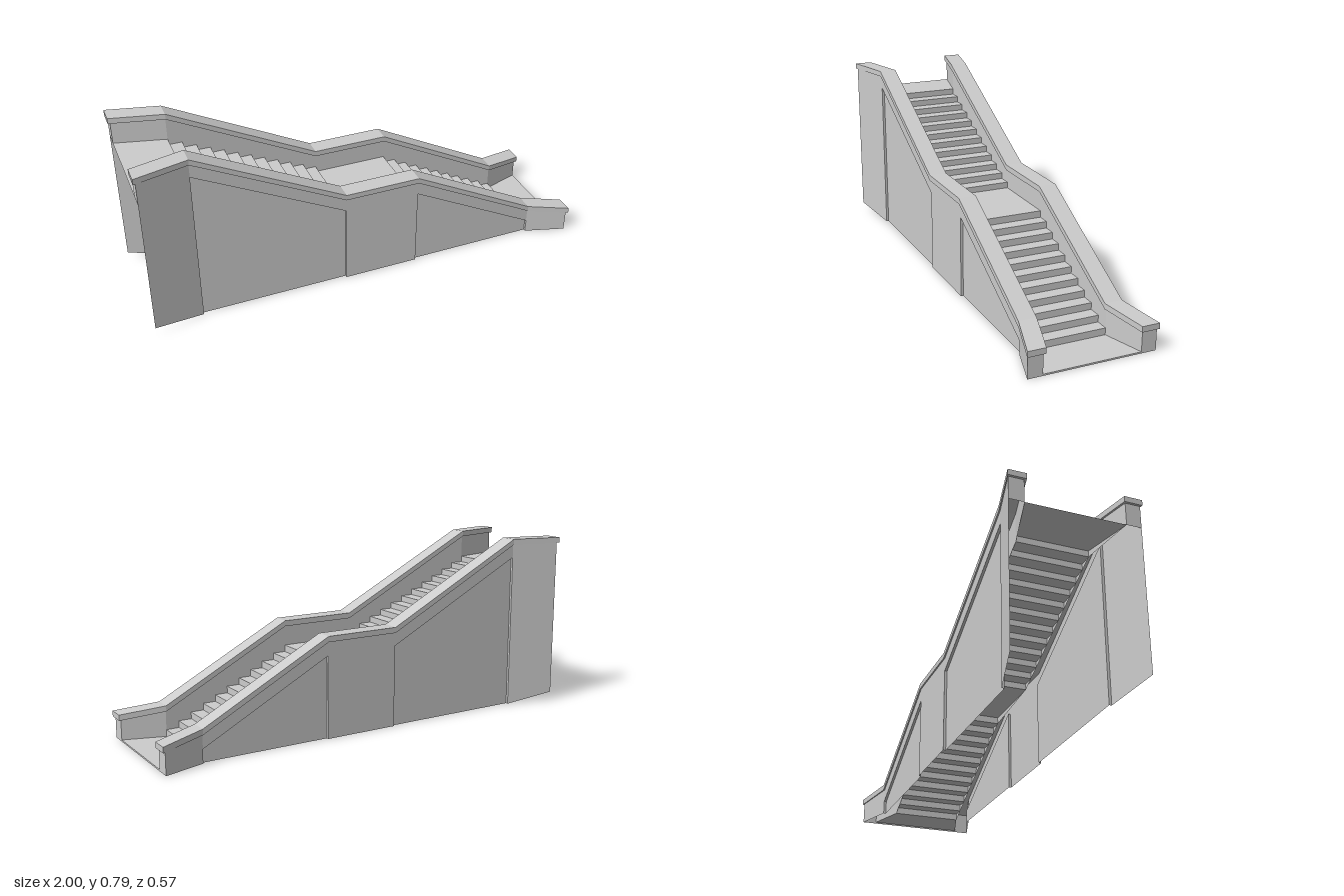
import * as THREE from 'three';

const material = new THREE.MeshStandardMaterial({ color: 0xcccccc, flatShading: true, side: THREE.DoubleSide });

// Skins a list of cross-sections (each a list of [x, y, z]) with flat quads
function loft(name, sections, { closed = false, caps = false } = {}) {
  const pos = [];
  const tri = (a, b, c) => {
    const [p, q, r] = [a, b, c].map((v) => new THREE.Vector3(...v));
    if (q.sub(p).cross(r.sub(p)).length() > 1e-9) pos.push(...a, ...b, ...c);
  };
  const quad = (a, b, c, d) => { tri(a, b, c); tri(a, c, d); };
  for (let i = 0; i < sections.length - 1; i++) {
    const s = sections[i], t = sections[i + 1], n = s.length;
    for (let j = 0; j < (closed ? n : n - 1); j++) {
      const k = (j + 1) % n;
      quad(s[j], t[j], t[k], s[k]);
    }
  }
  if (caps) {
    const s = sections[0], t = sections[sections.length - 1];
    quad(s[0], s[1], s[2], s[3]);
    quad(t[3], t[2], t[1], t[0]);
  }
  const geometry = new THREE.BufferGeometry();
  geometry.setAttribute('position', new THREE.Float32BufferAttribute(pos, 3));
  geometry.computeVertexNormals();
  const mesh = new THREE.Mesh(geometry, material);
  mesh.name = name;
  return mesh;
}

// Stations along the balustrade: coping top, stair level, flare outward, wall foot
const stations = [
  { x: -1, top: 0.79, floor: 0.665, flare: 0.055, foot: 0.04 },
  { x: -0.77, top: 0.79, floor: 0.638, flare: 0, foot: 0 },
  { x: -0.11, top: 0.45, floor: 0.337, flare: 0, foot: 0 },
  { x: 0.23, top: 0.45, floor: 0.307, flare: 0, foot: 0 },
  { x: 0.81, top: 0.145, floor: 0.007, flare: 0, foot: 0 },
  { x: 1, top: 0.12, floor: 0.007, flare: 0.055, foot: 0 },
];
const COPING = 0.025, BAND = 0.085, INNER = 0.157, OUTER = 0.222, RECESS = 0.011, END = 0.99;
const clampX = (x) => Math.max(-END, Math.min(END, x));

function createSide(s) {
  const side = new THREE.Group();
  side.name = s > 0 ? 'leftBalustrade' : 'rightBalustrade';

  // Overhanging coping
  side.add(loft('coping', stations.map(({ x, top, flare }) => {
    const a = s * (0.15 + flare), b = s * (0.228 + flare);
    return [[x, top - COPING, a], [x, top, a], [x, top, b], [x, top - COPING, b]];
  }), { closed: true, caps: true }));

  // Wall: inner parapet, band under the coping, then pier or recessed panel
  const section = (p, recess) => {
    const x = clampX(p.x), a = s * (INNER + p.flare), b = s * (OUTER + p.flare);
    const c = s * (OUTER + p.flare - recess);
    const under = p.top - COPING, band = p.top - BAND;
    return [[x, p.floor, a], [x, under, a], [x, under, b], [x, band, b], [x, band, c], [x, p.foot, c]];
  };
  const rings = [];
  for (let i = 0; i < stations.length - 1; i++) {
    const recess = i % 2 ? RECESS : 0; // the two sloping bays are recessed
    rings.push(section(stations[i], recess), section(stations[i + 1], recess));
  }
  side.add(loft('wall', rings));

  // End faces of the wall
  for (const p of [stations[0], stations[5]]) {
    const x = clampX(p.x), a = s * (INNER + p.flare), b = s * (OUTER + p.flare);
    const low = p.x < 0 ? p.floor : 0, high = p.top - COPING;
    side.add(loft('wallEnd', [[[x, low, a], [x, high, a]], [[x, low, b], [x, high, b]]]));
  }
  return side;
}

function createStairs() {
  // Stepped ribbon of [x, y, half width]
  const path = [[-END, 0.665, INNER + 0.055], [-0.77, 0.665, INNER]];
  const flight = (x0, x1, y0, y1, risers) => {
    for (let i = 0; i < risers; i++) {
      const x = x0 + ((x1 - x0) * i) / (risers - 1);
      path.push([x, y0 + ((y1 - y0) * i) / risers, INNER]);
      path.push([x, y0 + ((y1 - y0) * (i + 1)) / risers, INNER]);
    }
  };
  flight(-0.77, -0.11, 0.665, 0.337, 12);
  flight(0.23, 0.81, 0.337, 0.007, 11);
  path.push([END, 0.007, INNER + 0.055], [END, 0, INNER + 0.055]);
  return loft('stairs', path.map(([x, y, w]) => [[x, y, w], [x, y, -w]]));
}

export function createModel() {
  const model = new THREE.Group();
  model.name = 'staircase';
  model.add(createStairs(), createSide(1), createSide(-1));
  return model;
}
